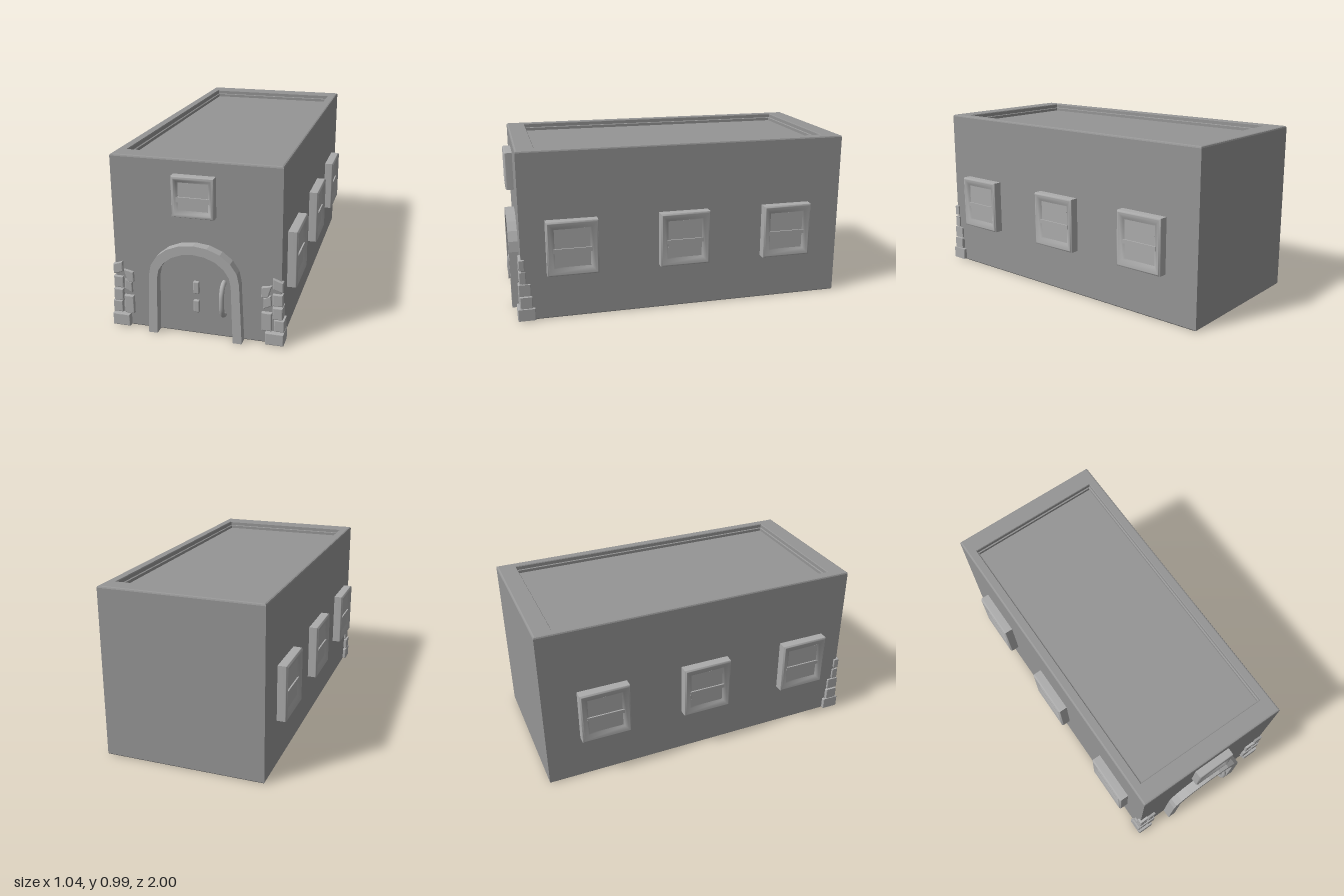
import * as THREE from 'three';
import { toCreasedNormals } from 'three/addons/utils/BufferGeometryUtils.js';
import { RoundedBoxGeometry } from 'three/addons/geometries/RoundedBoxGeometry.js';

const wall = new THREE.MeshStandardMaterial({ color: 0x959595 });
const trim = new THREE.MeshStandardMaterial({ color: 0xacacac });

function add(parent, name, geometry, material, x = 0, y = 0, z = 0) {
  const mesh = new THREE.Mesh(geometry, material);
  mesh.name = name;
  mesh.position.set(x, y, z);
  parent.add(mesh);
  return mesh;
}

// Skin over nested rectangles [halfWidth, halfHeight, depth] along +z, capped at both ends
function loftRects(rings, crease) {
  const pos = [], index = [];
  for (const [w, h, d] of rings) pos.push(-w, -h, d, w, -h, d, w, h, d, -w, h, d);
  for (let r = 0; r < rings.length - 1; r++) {
    for (let i = 0; i < 4; i++) {
      const a = r * 4 + i, b = r * 4 + (i + 1) % 4;
      index.push(a, b, b + 4, a, b + 4, a + 4);
    }
  }
  const t = (rings.length - 1) * 4;
  index.push(0, 2, 1, 0, 3, 2, t, t + 1, t + 2, t, t + 2, t + 3);
  const g = new THREE.BufferGeometry();
  g.setAttribute('position', new THREE.Float32BufferAttribute(pos, 3));
  g.setIndex(index);
  return toCreasedNormals(g, crease);
}

// Outline extruded from zBack to zFront with a small bevel kept inside the outline
function slab(points, zBack, zFront, bevel) {
  const shape = new THREE.Shape(points.map(([x, y]) => new THREE.Vector2(x, y)));
  const g = new THREE.ExtrudeGeometry(shape, {
    depth: zFront - zBack - 2 * bevel, bevelEnabled: bevel > 0, bevelThickness: bevel,
    bevelSize: bevel, bevelOffset: -bevel, bevelSegments: 2,
  });
  return g.translate(0, 0, zBack + bevel);
}

const rect = (x0, x1, y0, y1) => [[x0, y0], [x1, y0], [x1, y1], [x0, y1]];

// Framed window facing +z: soft rounded rim, shallow dish, pane and crossbar
function makeWindow(name, w, h, paneW, paneH, depth, barY, barH) {
  const group = new THREE.Group();
  group.name = name;
  const rings = [[w, h, -0.01], [w, h, depth - 0.014]];
  for (let i = 0; i <= 4; i++) {
    const a = (i / 4) * Math.PI / 2, inset = 0.011 * (1 - Math.cos(a));
    rings.push([w - inset, h - inset, depth - 0.011 + 0.011 * Math.sin(a)]);
  }
  rings.push([w - 0.017, h - 0.017, depth - 0.001]);
  rings.push([paneW + 0.008, paneH + 0.008, depth - 0.012]);
  rings.push([paneW - 0.002, paneH - 0.002, depth - 0.019]);
  add(group, 'windowFrame', loftRects(rings, 1.2), trim);
  add(group, 'windowPane', new THREE.BoxGeometry(2 * paneW, 2 * paneH, 0.02), trim, 0, 0, depth - 0.0275);
  add(group, 'windowBar', new THREE.BoxGeometry(2 * paneW + 0.02, barH, 0.02), trim, 0, barY, depth - 0.019);
  return group;
}

export function createModel() {
  const model = new THREE.Group();
  model.name = 'building';

  // Block body with a sunken flat roof inside a parapet
  const body = add(model, 'body', loftRects([
    [0.46, 0.96, 0], [0.465, 0.965, 0.006], [0.465, 0.965, 0.98],
    [0.462, 0.962, 0.987], [0.455, 0.955, 0.99],
    [0.413, 0.858, 0.99], [0.41, 0.855, 0.985], [0.41, 0.855, 0.965],
    [0.403, 0.848, 0.962], [0.403, 0.848, 0.945],
  ], 0.1), wall, 0, 0, -0.035);
  body.rotation.x = -Math.PI / 2;

  // Windows: one above the door, three on each side
  const front = makeWindow('frontWindow', 0.115, 0.111, 0.081, 0.075, 0.048, -0.016, 0.028);
  front.position.set(0, 0.799, 0.93);
  model.add(front);
  for (const side of [-1, 1]) {
    for (const z of [0.64, -0.017, -0.65]) {
      const win = makeWindow('sideWindow', 0.148, 0.16, 0.102, 0.112, 0.057, -0.013, 0.024);
      win.position.set(side * 0.465, 0.433, z);
      win.rotation.y = side * Math.PI / 2;
      model.add(win);
    }
  }

  // Door arch: slightly splayed legs with a faceted round head
  const archSide = (legX, springX, springY, top) => {
    const pts = [[legX, 0]];
    for (let i = 0; i <= 10; i++) {
      const a = (i / 10) * Math.PI;
      pts.push([springX * Math.cos(a), springY + (top - springY) * Math.sin(a)]);
    }
    pts.push([-legX, 0]);
    return pts;
  };
  const arch = [...archSide(0.264, 0.25, 0.345, 0.54), ...archSide(0.214, 0.205, 0.33, 0.49).reverse()];
  add(model, 'doorArch', slab(arch, 0.9, 0.985, 0), trim);

  // Door fittings
  for (const y of [0.17, 0.28]) {
    add(model, 'doorPlate', new RoundedBoxGeometry(0.034, 0.073, 0.03, 3, 0.007), trim, 0, y, 0.93);
  }
  const grip = new THREE.CatmullRomCurve3([
    [0.135, 0.92], [0.147, 0.957], [0.182, 0.979], [0.232, 0.985],
    [0.282, 0.979], [0.316, 0.957], [0.328, 0.92],
  ].map(([y, z]) => new THREE.Vector3(0.154, y, z)));
  add(model, 'doorHandle', new THREE.TubeGeometry(grip, 24, 0.014, 10), trim);

  // Corner stones, mirrored: [outline, zBack, zFront]
  const stones = [
    [rect(0.385, 0.485, 0.005, 0.075), 0.86, 0.962],
    [rect(0.43, 0.485, 0.08, 0.148), 0.875, 0.947],
    [rect(0.422, 0.476, 0.153, 0.222), 0.88, 0.952],
    [rect(0.42, 0.475, 0.228, 0.296), 0.905, 0.945],
    [[[0.42, 0.325], [0.475, 0.308], [0.475, 0.367], [0.42, 0.386]], 0.91, 0.945],
    [rect(0.362, 0.417, 0.08, 0.186), 0.91, 0.95],
    [[[0.37, 0.205], [0.415, 0.226], [0.411, 0.285], [0.37, 0.266]], 0.91, 0.945],
    [[[0.358, 0.27], [0.395, 0.27], [0.415, 0.341], [0.36, 0.33]], 0.91, 0.945],
  ];
  for (const side of [-1, 1]) {
    for (const [outline, zBack, zFront] of stones) {
      const points = outline.map(([x, y]) => [side * x, y]);
      add(model, 'cornerStone', slab(points, zBack, zFront, 0.005), trim);
    }
  }
  return model;
}
